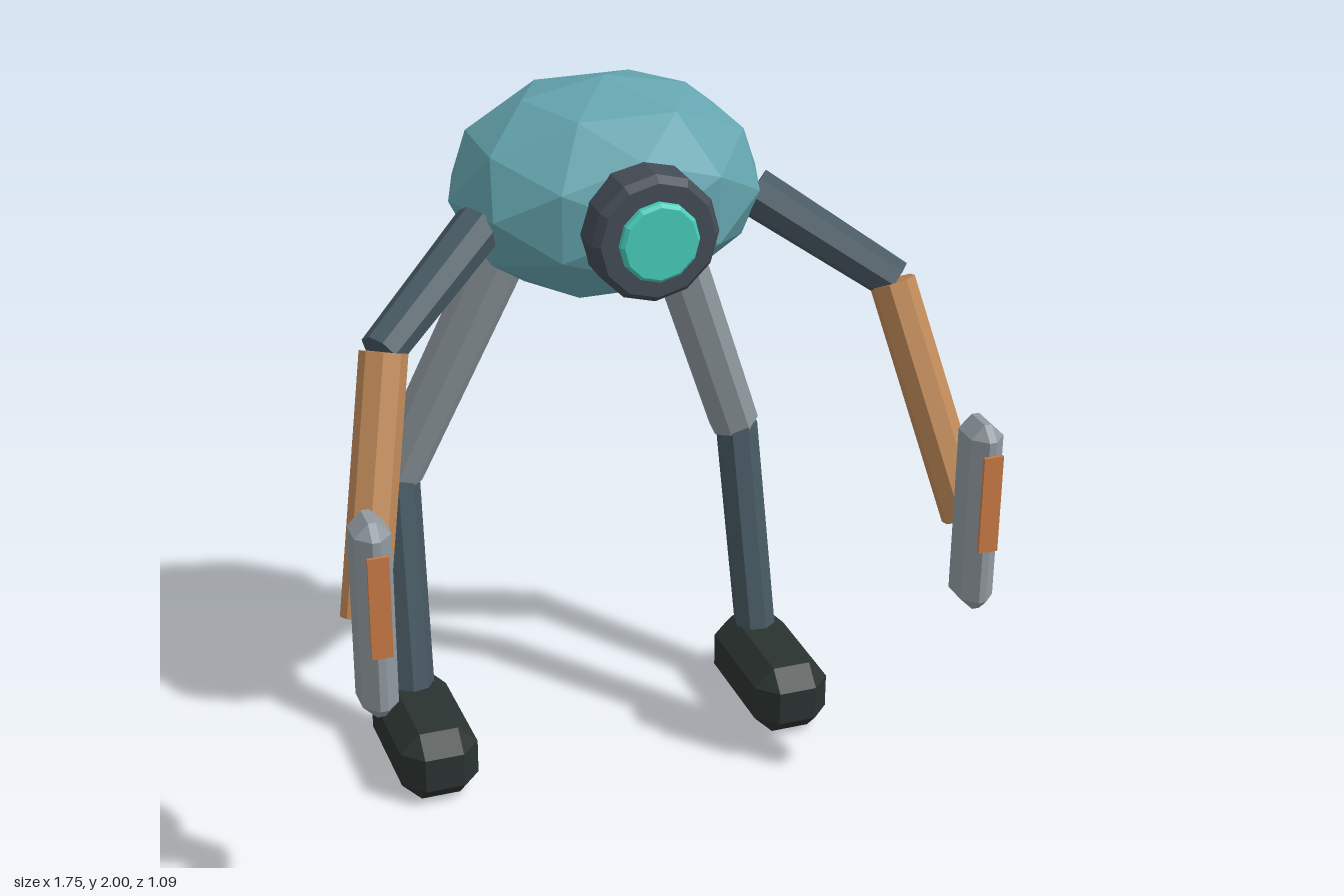
import * as THREE from 'three';
import { ConvexGeometry } from 'three/addons/geometries/ConvexGeometry.js';

const mat = (name, color) => {
  const m = new THREE.MeshStandardMaterial({ color, flatShading: true });
  m.name = name;
  return m;
};

const V = (x, y, z) => new THREE.Vector3(x, y, z);

function add(parent, name, geometry, material, x = 0, y = 0, z = 0) {
  const mesh = new THREE.Mesh(geometry, material);
  mesh.name = name;
  mesh.position.set(x, y, z);
  parent.add(mesh);
  return mesh;
}

// Straight eight-sided limb segment from a to b
function limb(parent, name, a, b, ra, rb, material) {
  const mesh = add(parent, name, new THREE.CylinderGeometry(rb, ra, a.distanceTo(b), 8), material);
  mesh.position.copy(a).lerp(b, 0.5);
  mesh.quaternion.setFromUnitVectors(V(0, 1, 0), b.clone().sub(a).normalize());
}

// Box with every edge cut by c
function chamferBox(w, h, d, c) {
  const half = [w / 2, h / 2, d / 2];
  const points = [];
  for (let axis = 0; axis < 3; axis++)
    for (const sx of [-1, 1]) for (const sy of [-1, 1]) for (const sz of [-1, 1]) {
      const p = [sx, sy, sz].map((s, i) => s * (i === axis ? half[i] : half[i] - c));
      points.push(V(...p));
    }
  return new ConvexGeometry(points);
}

// Solid turned about the z axis from [radius, z] pairs, back to front
function turned(profile, sides) {
  const points = profile.map(([r, z]) => new THREE.Vector2(r, z));
  return new THREE.LatheGeometry(points, sides).rotateX(Math.PI / 2);
}

export function createModel() {
  const teal = mat('teal shell', 0x64a4ae);
  const slate = mat('slate limb', 0x465861);
  const ringGrey = mat('dark ring', 0x434b54);
  const lensGreen = mat('lens green', 0x46ccba);
  const grey = mat('light grey', 0x909aa0);
  const tan = mat('tan forearm', 0xc08a59);
  const orange = mat('orange panel', 0xc87a45);
  const black = mat('foot black', 0x2a3331);

  const model = new THREE.Group();
  model.name = 'walker';

  // Faceted egg body
  const egg = new THREE.IcosahedronGeometry(1, 1).scale(0.42, 0.29, 0.36);
  add(model, 'body', egg, teal, 0, 1.71, -0.16);

  // Single eye: bevelled housing with a raised lens
  const housing = turned([[0, 0.08], [0.168, 0.08], [0.168, 0.23], [0.15, 0.25], [0, 0.25]], 12);
  add(model, 'eyeHousing', housing, ringGrey, 0, 1.7, 0);
  const lens = turned([[0, 0.24], [0.104, 0.24], [0.104, 0.265], [0.095, 0.273], [0, 0.273]], 12);
  add(model, 'eyeLens', lens, lensGreen, 0, 1.7, 0);

  for (const [side, s] of [['left', 1], ['right', -1]]) {
    // Arm with an upright hand plate
    const arm = new THREE.Group();
    arm.name = side + 'Arm';
    model.add(arm);
    limb(arm, 'upperArm', V(s * 0.37, 1.68, -0.05), V(s * 0.69, 1.465, 0.16), 0.065, 0.056, slate);
    limb(arm, 'forearm', V(s * 0.682, 1.465, 0.16), V(s * 0.815, 0.865, 0.39), 0.061, 0.061, tan);
    add(arm, 'hand', chamferBox(0.092, 0.54, 0.145, 0.036), grey, s * 0.81, 0.913, 0.462);
    add(arm, 'handPanel', new THREE.BoxGeometry(0.054, 0.275, 0.009), orange, s * 0.81, 0.973, 0.54);

    // Leg with a chamfered block foot
    const leg = new THREE.Group();
    leg.name = side + 'Leg';
    model.add(leg);
    limb(leg, 'thigh', V(s * 0.225, 1.52, -0.31), V(s * 0.503, 0.805, -0.48), 0.076, 0.073, grey);
    limb(leg, 'shin', V(s * 0.508, 0.8, -0.47), V(s * 0.525, 0.12, -0.31), 0.062, 0.06, slate);
    add(leg, 'foot', chamferBox(0.22, 0.21, 0.434, 0.055), black, s * 0.525, 0.105, -0.213);
  }
  return model;
}
